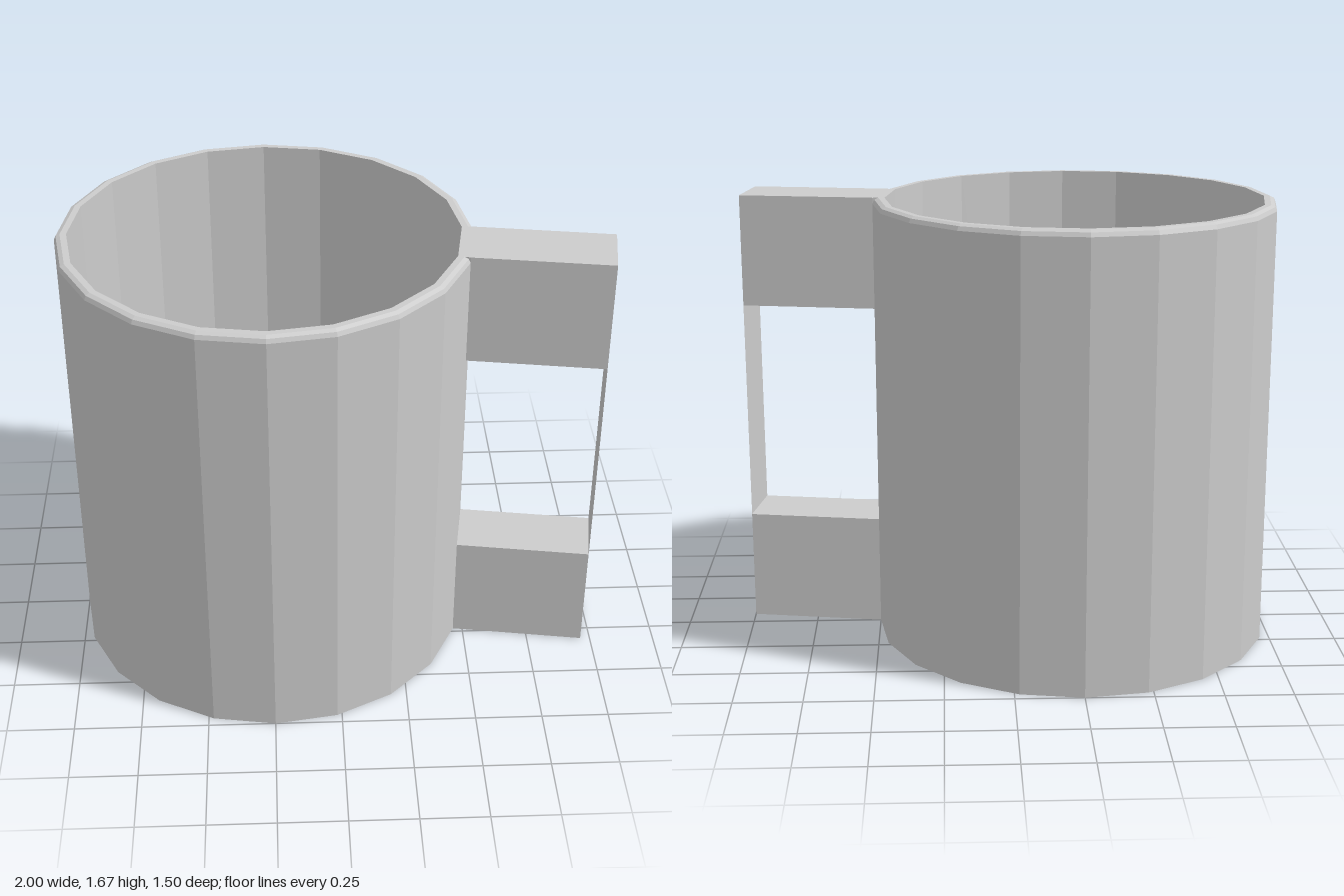
import * as THREE from 'three';

const SIDES = 20, RADIUS = 0.75, INNER = 0.705, HEIGHT = 1.675;
const CENTRE_X = -0.25, REACH = 0.506;
const STEP = (Math.PI * 2) / SIDES, MID = STEP / 2;

export function createModel() {
  const model = new THREE.Group();
  model.name = 'mug';
  const grey = new THREE.MeshStandardMaterial({ color: 0xcccccc });
  grey.name = 'grey';
  grey.flatShading = true;
  grey.side = THREE.DoubleSide;

  const add = (name, geometry) => {
    const mesh = new THREE.Mesh(geometry, grey);
    mesh.name = name;
    model.add(mesh);
    return mesh;
  };

  // Hollow body with a bevelled outer rim
  const profile = [
    [0, 0], [RADIUS, 0], [RADIUS, HEIGHT - 0.022], [RADIUS - 0.007, HEIGHT - 0.007],
    [RADIUS - 0.022, HEIGHT], [INNER, HEIGHT], [INNER, 0.05], [0, 0.05],
  ].map(([r, y]) => new THREE.Vector2(r, y));
  add('body', new THREE.LatheGeometry(profile, SIDES)).position.x = CENTRE_X;

  // Handle arms grow straight out of one facet of the body
  const polar = (r, a) => new THREE.Vector2(r * Math.cos(a), -r * Math.sin(a));
  const out = polar(REACH, MID);
  const outline = [
    polar(0.72, 0), polar(RADIUS, 0), polar(RADIUS, 0).add(out),
    polar(RADIUS, STEP).add(out), polar(RADIUS, STEP), polar(0.72, STEP),
  ];
  const arm = (name, y0, y1) => {
    const geometry = new THREE.ExtrudeGeometry(new THREE.Shape(outline), {
      depth: y1 - y0, bevelEnabled: false,
    });
    geometry.rotateX(-Math.PI / 2);
    add(name, geometry).position.set(CENTRE_X, y0, 0);
  };
  const low = 0.42, high = 1.256;
  arm('lowerHandleArm', 0, low);
  arm('upperHandleArm', high, HEIGHT);

  // Thin grip sheet joining the outer ends of the arms
  const width = 2 * RADIUS * Math.sin(MID);
  const distance = RADIUS * Math.cos(MID) + REACH;
  const grip = add('handleGrip', new THREE.PlaneGeometry(width, high - low));
  grip.rotation.y = Math.PI / 2 - MID;
  grip.position.set(
    CENTRE_X + distance * Math.cos(MID), (low + high) / 2, distance * Math.sin(MID));

  return model;
}
